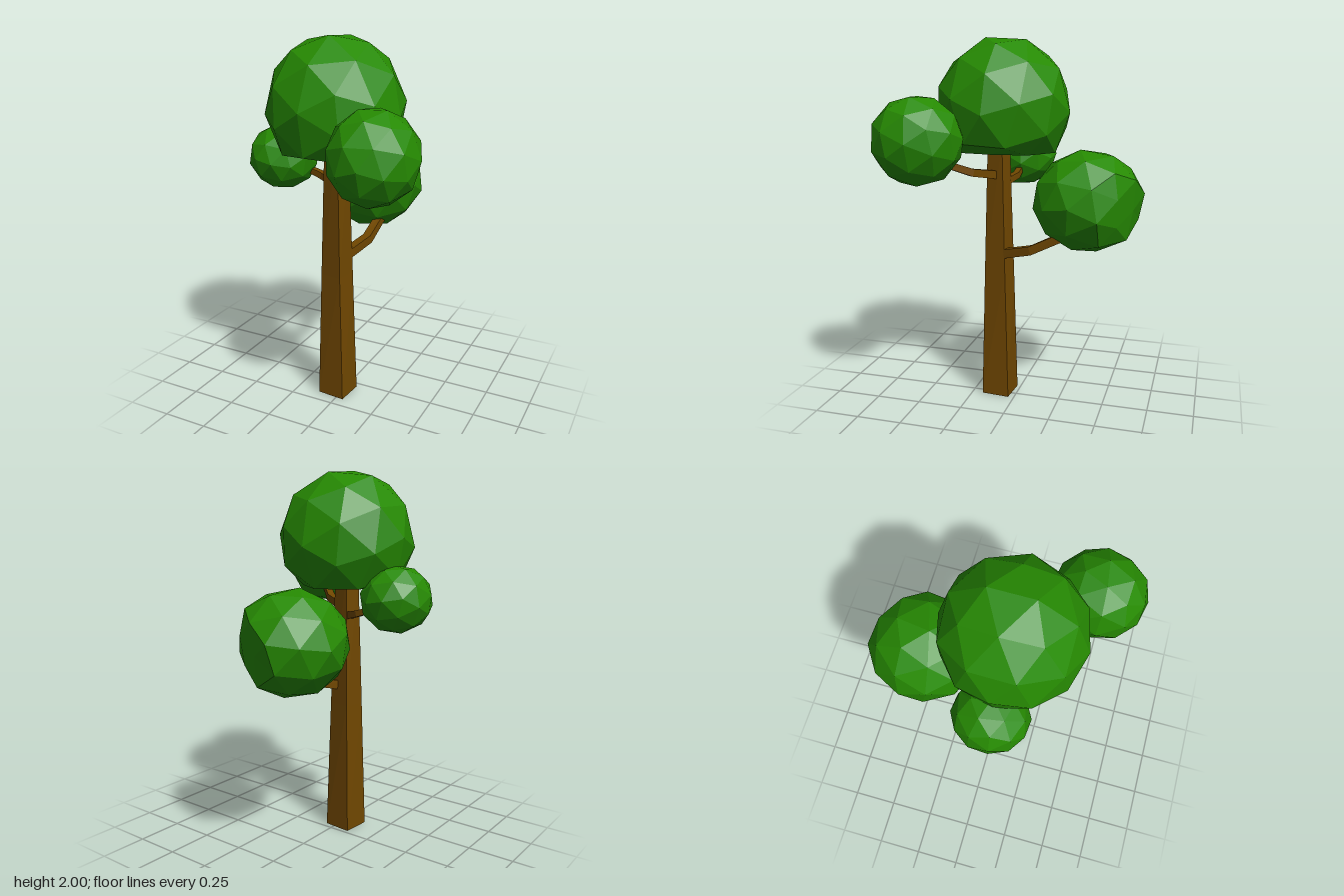
import * as THREE from 'three';

const bark = new THREE.MeshStandardMaterial({ color: 0x704700, flatShading: true });
const leaf = new THREE.MeshStandardMaterial({ color: 0x268a02, flatShading: true });

// Move every vertex of a geometry by a rule that edits the vector in place
function reshape(geometry, rule) {
  const pos = geometry.attributes.position;
  const v = new THREE.Vector3();
  for (let i = 0; i < pos.count; i++) {
    rule(v.fromBufferAttribute(pos, i));
    pos.setXYZ(i, v.x, v.y, v.z);
  }
  geometry.computeVertexNormals();
  return geometry;
}

function addMesh(group, name, geometry, material) {
  const mesh = new THREE.Mesh(geometry, material);
  mesh.name = name;
  group.add(mesh);
}

// Square trunk that narrows and twists slightly towards the top
function trunkGeometry() {
  const height = 1.46, up = new THREE.Vector3(0, 1, 0);
  return reshape(new THREE.BoxGeometry(1, 1, 1, 1, 2, 1), (v) => {
    const t = v.y + 0.5;
    const width = THREE.MathUtils.lerp(0.157, 0.088, t);
    v.set(v.x * width, t * height, v.z * width);
    v.applyAxisAngle(up, -0.08 - 0.14 * t);
    v.x -= 0.03;
    v.z += 0.105;
  });
}

// Tapered square branch bent through three points
function branchGeometry(points, startWidth, endWidth) {
  const path = points.map((p) => new THREE.Vector3(...p));
  const frames = path.map((p, i) => {
    const dir = path[Math.min(i + 1, 2)].clone().sub(path[Math.max(i - 1, 0)]).normalize();
    const side = new THREE.Vector3(0, 1, 0).cross(dir).normalize();
    return { side, up: dir.clone().cross(side) };
  });
  return reshape(new THREE.BoxGeometry(1, 1, 1, 1, 1, 2), (v) => {
    const i = Math.round((v.z + 0.5) * 2);
    const width = THREE.MathUtils.lerp(startWidth, endWidth, i / 2);
    const { x, y } = v;
    v.copy(path[i]).addScaledVector(frames[i].side, x * width).addScaledVector(frames[i].up, y * width);
  });
}

// Faceted ball turned at an angle, fitted to a centre and size, with an optional flattened side
function foliageGeometry({ centre, size, turn, flat }) {
  const geometry = new THREE.IcosahedronGeometry(1, 1);
  geometry.rotateX(turn[0]).rotateY(turn[1]).rotateZ(turn[2]);
  geometry.computeBoundingBox();
  const mid = geometry.boundingBox.getCenter(new THREE.Vector3());
  const scale = new THREE.Vector3(...size).divide(geometry.boundingBox.getSize(new THREE.Vector3()));
  const offset = new THREE.Vector3(...centre);
  const normal = flat && new THREE.Vector3(...flat.normal).normalize();
  return reshape(geometry, (v) => {
    v.sub(mid).multiply(scale);
    if (flat) v.addScaledVector(normal, Math.min(0, flat.depth - v.dot(normal)));
    v.add(offset);
  });
}

export function createModel() {
  const tree = new THREE.Group();
  tree.name = 'tree';

  addMesh(tree, 'trunk', trunkGeometry(), bark);

  // Branches
  const branches = [
    ['backBranch', [[0, 0.83, 0.1], [0.055, 0.88, -0.1], [0.06, 0.96, -0.26]], 0.05, 0.045],
    ['leftBranch', [[-0.03, 1.27, 0.1], [0.15, 1.305, 0.2], [0.28, 1.37, 0.32]], 0.045, 0.035],
    ['rightBranch', [[-0.03, 1.225, 0.09], [-0.15, 1.255, 0.04], [-0.26, 1.29, 0.04]], 0.04, 0.03],
  ];
  for (const [name, points, start, end] of branches) {
    addMesh(tree, name, branchGeometry(points, start, end), bark);
  }

  // Foliage clumps; the crown is flat underneath, the back clump on its outer side
  const clumps = {
    crownFoliage: {
      centre: [-0.045, 1.635, 0.08], size: [0.73, 0.73, 0.73], turn: [0.3, 0.5, 0.1],
      flat: { normal: [0, -1, 0], depth: 0.235 },
    },
    backFoliage: {
      centre: [-0.05, 1.147, -0.39], size: [0.58, 0.545, 0.59], turn: [0.8, 0.2, 0.4],
      flat: { normal: [0.42, -0.1, -0.9], depth: 0.235 },
    },
    leftFoliage: { centre: [0.333, 1.483, 0.425], size: [0.445, 0.445, 0.48], turn: [0.2, 1.1, 0.5] },
    rightFoliage: { centre: [-0.373, 1.345, 0.065], size: [0.365, 0.35, 0.39], turn: [1.2, 0.4, 0.9] },
  };
  for (const [name, clump] of Object.entries(clumps)) {
    addMesh(tree, name, foliageGeometry(clump), leaf);
  }

  return tree;
}
